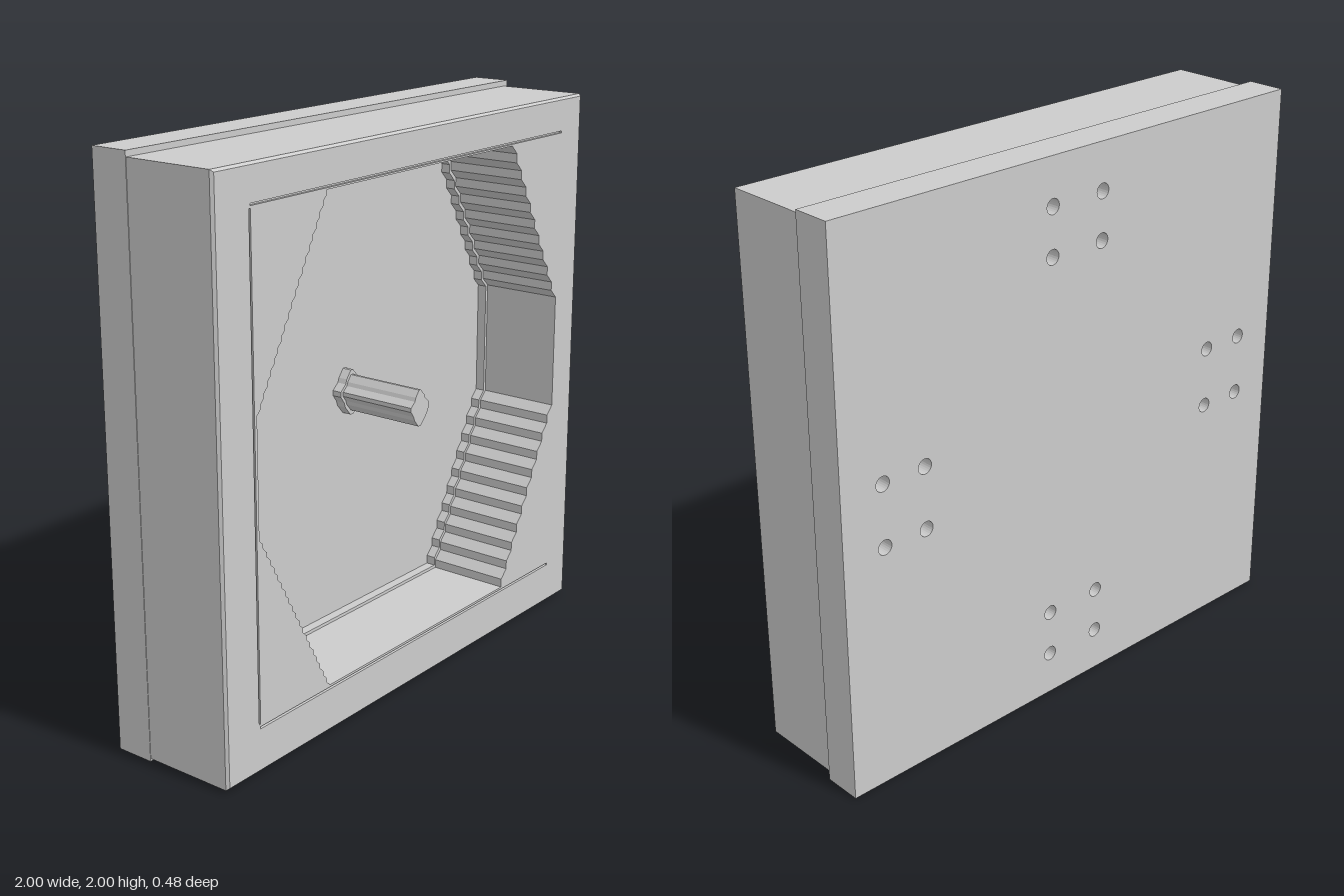
import * as THREE from 'three';

const material = new THREE.MeshStandardMaterial({ color: 0xcccccc, flatShading: true });

function addMesh(parent, name, geometry) {
  const mesh = new THREE.Mesh(geometry, material);
  mesh.name = name;
  parent.add(mesh);
  return mesh;
}

// Extrude a flat shape between two z positions
function slab(parent, name, shape, z0, z1) {
  const geometry = new THREE.ExtrudeGeometry(shape, { depth: z1 - z0, bevelEnabled: false });
  return addMesh(parent, name, geometry.translate(0, 0, z0));
}

const points = (list) => list.map(([x, y]) => new THREE.Vector2(x, y));
const rect = (x0, y0, x1, y1) => points([[x0, y0], [x1, y0], [x1, y1], [x0, y1]]);

// Stepped slope: each step is a vertical run followed by a diagonal one
function steps(from, to, count) {
  const out = [];
  const dx = (to[0] - from[0]) / count, dy = (to[1] - from[1]) / count;
  for (let i = 0; i < count; i++) {
    const x = from[0] + dx * i, y = from[1] + dy * i;
    out.push([x, y], [x, y + dy / 2]);
  }
  out.push(to);
  return out;
}

// Eight-sided opening with finely stepped left slopes and coarser right slopes
function opening(scale = 1) {
  const list = [
    ...steps([-0.49, 1.847], [-0.828, 1.21], 20),
    ...steps([-0.828, 0.82], [-0.49, 0.18], 20),
    ...steps([0.53, 0.18], [0.848, 0.82], 10),
    ...steps([0.848, 1.21], [0.53, 1.847], 10),
  ];
  const cx = 0.01, cy = 1.0135;
  return new THREE.Path(points(list.map(([x, y]) => [cx + (x - cx) * scale, cy + (y - cy) * scale])));
}

function frameShape(inset, scale) {
  const shape = new THREE.Shape(rect(-0.998 + inset, 0.01 + inset, 0.98 - inset, 1.98 - inset));
  shape.holes.push(opening(scale));
  return shape;
}

export function createModel() {
  const group = new THREE.Group();

  // Back plate with four clusters of blind screw holes
  const plate = new THREE.Group();
  plate.name = 'backPlate';
  group.add(plate);
  const back = new THREE.Shape(rect(-1, 0, 1, 2));
  for (let side = 0; side < 4; side++) {
    const angle = side * Math.PI / 2, c = Math.cos(angle), s = Math.sin(angle);
    for (const r of [0.665, 0.835]) {
      for (const t of [-0.112, 0.112]) {
        const hole = new THREE.Path();
        hole.absarc(r * c - t * s, 0.997 + r * s + t * c, 0.027, 0, Math.PI * 2, true);
        back.holes.push(hole);
      }
    }
  }
  slab(plate, 'drilledLayer', back, -0.24, -0.15);
  slab(plate, 'cavityFloor', new THREE.Shape(rect(-1, 0, 1, 2)), -0.15, -0.10);

  // Deep frame around the cavity, with a narrow lip at the floor
  const frame = new THREE.Group();
  frame.name = 'frontFrame';
  group.add(frame);
  slab(frame, 'floorLip', frameShape(0, 0.986), -0.10, -0.065);
  slab(frame, 'frameBody', frameShape(0, 1), -0.065, 0.23);

  // Front face with shallow grooves beside the opening
  const inset = 0.008;
  const face = frameShape(inset, 1);
  for (const slot of [
    rect(-0.84, 1.853, 0.85, 1.86),
    rect(-0.84, 0.164, 0.85, 0.172),
    rect(-0.846, 0.18, -0.839, 1.845),
  ]) face.holes.push(new THREE.Path(slot));
  slab(frame, 'groovedFace', face, 0.23, 0.24);

  // Chamfer around the front outer edge
  const w = 1.978, h = 1.97;
  const chamfer = new THREE.CylinderGeometry((1 - 2 * inset / w) / Math.SQRT2, 1 / Math.SQRT2, 0.01, 4, 1, true);
  chamfer.rotateY(Math.PI / 4).rotateX(Math.PI / 2).scale(w, h, 1);
  addMesh(frame, 'edgeChamfer', chamfer).position.set(-0.009, 0.995, 0.235);

  // Central diamond pin with a wider foot
  const pin = new THREE.Group();
  pin.name = 'centrePin';
  group.add(pin);
  const diamond = (k) => new THREE.Shape(points([
    [0.06, -0.018], [0.06, 0.018], [0.038, 0.036], [0.032, 0.052], [0.006, 0.08], [-0.006, 0.08],
    [-0.028, 0.052], [-0.034, 0.036], [-0.06, 0.014], [-0.06, -0.004], [-0.042, -0.028],
    [-0.036, -0.046], [-0.008, -0.078], [0.008, -0.078], [0.036, -0.05],
  ].map(([x, y]) => [0.014 + x * k, 1.018 + y * k])));
  slab(pin, 'pinFoot', diamond(1.03), -0.10, -0.065);
  slab(pin, 'pinShaft', diamond(0.82), -0.065, 0.23);

  return group;
}
